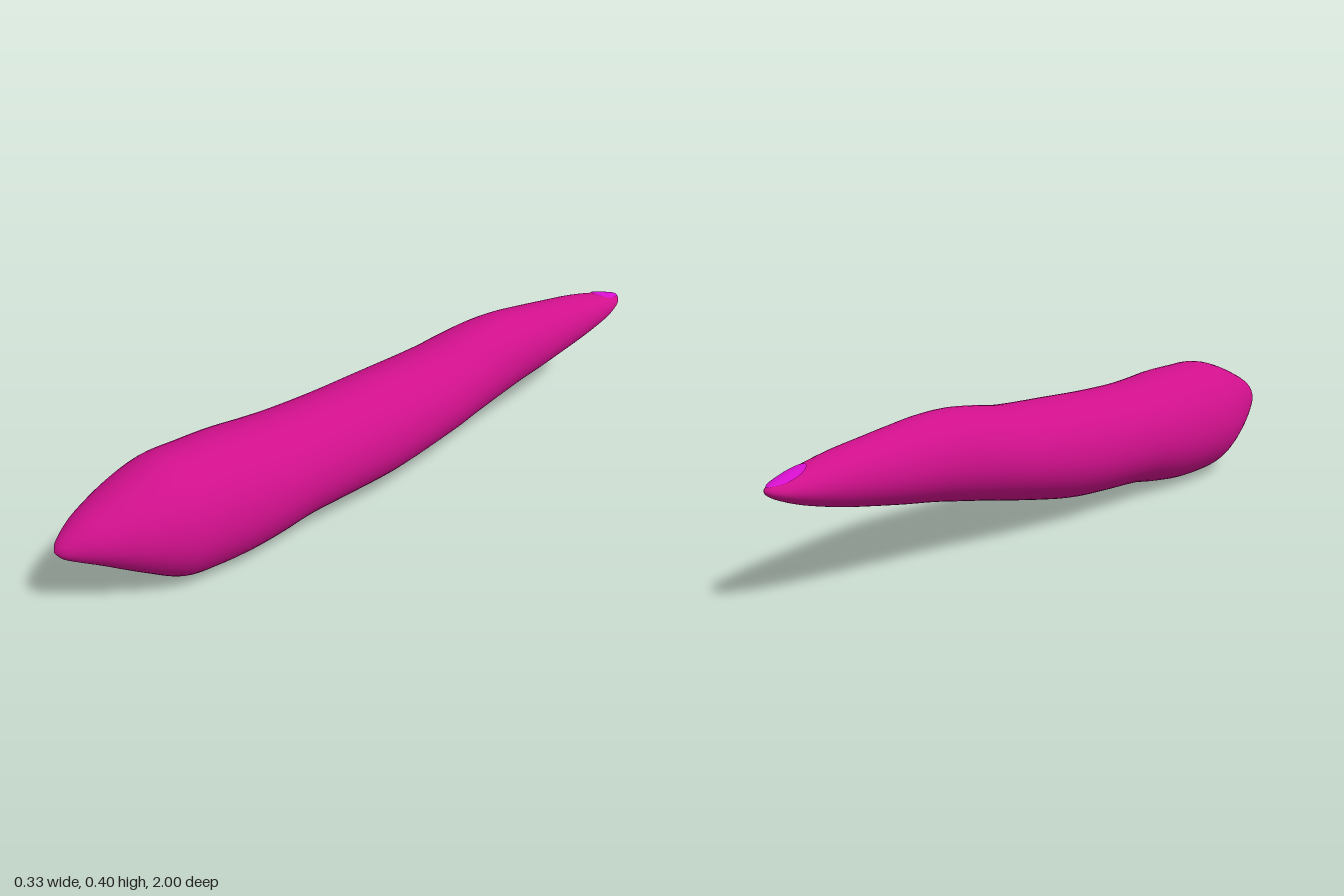
import * as THREE from 'three';
import { mergeVertices } from 'three/addons/utils/BufferGeometryUtils.js';

// Cross-sections from knuckle end to fingertip: z, top, bottom, half width
const SECTIONS = [
  [1, 0.2, 0.2, 0], [0.985, 0.222, 0.178, 0.026], [0.95, 0.25, 0.157, 0.055],
  [0.9, 0.278, 0.13, 0.087], [0.8, 0.322, 0.068, 0.133], [0.7, 0.353, 0.012, 0.16],
  [0.6, 0.357, 0.002, 0.165], [0.5, 0.357, 0.006, 0.167], [0.4, 0.35, 0.02, 0.163],
  [0.3, 0.347, 0.037, 0.156], [0.15, 0.351, 0.047, 0.152], [0, 0.36, 0.062, 0.15],
  [-0.2, 0.373, 0.104, 0.14], [-0.3, 0.389, 0.128, 0.131], [-0.4, 0.402, 0.15, 0.12],
  [-0.5, 0.403, 0.172, 0.109], [-0.6, 0.394, 0.19, 0.097], [-0.7, 0.383, 0.21, 0.084],
  [-0.8, 0.371, 0.232, 0.071], [-0.9, 0.351, 0.261, 0.055], [-0.96, 0.335, 0.285, 0.036],
  [-0.99, 0.325, 0.302, 0.017], [-1, 0.315, 0.315, 0],
];
const spline = (pick) => new THREE.CatmullRomCurve3(
  SECTIONS.map((s) => new THREE.Vector3(...pick(s))), false, 'catmullrom', 0.5);
const heights = spline(([z, top, bottom]) => [z, top, bottom]);
const widths = spline(([z, , , w]) => [z, w, 0]);

// Point on the finger skin at t along its length and angle a around it
function skin(t, a, lift = 0) {
  const { x: z, y: top, z: bottom } = heights.getPoint(t);
  const w = widths.getPoint(t).y;
  const s = Math.sin(a), c = Math.cos(a);
  // upper half slightly taller than the lower half
  const mid = (top + bottom) / 2 - 0.03 * (top - bottom);
  const h = s > 0 ? top - mid : mid - bottom;
  return [c * (w + lift), mid + s * (h + lift), z];
}

// Smooth surface from a grid of points
function gridGeometry(rows, cols, point) {
  const position = [], index = [];
  for (let i = 0; i <= rows; i++) {
    for (let j = 0; j <= cols; j++) {
      position.push(...point(i / rows, (j % cols) / cols));
      if (i === rows || j === cols) continue;
      const a = i * (cols + 1) + j, c = a + cols + 1;
      index.push(a, c, a + 1, c, c + 1, a + 1);
    }
  }
  const g = new THREE.BufferGeometry();
  g.setAttribute('position', new THREE.Float32BufferAttribute(position, 3));
  g.setIndex(index);
  const merged = mergeVertices(g, 1e-5);
  merged.computeVertexNormals();
  return merged;
}

export function createModel() {
  const group = new THREE.Group();
  group.name = 'finger';
  const skinMaterial = new THREE.MeshStandardMaterial({ color: 0xd0108c });
  skinMaterial.name = 'magenta skin';
  const nailMaterial = new THREE.MeshStandardMaterial({ color: 0xd80fd0 });
  nailMaterial.name = 'violet nail';

  // Finger body
  const body = new THREE.Mesh(
    gridGeometry(110, 48, (u, v) => skin(u, v * Math.PI * 2)), skinMaterial);
  body.name = 'fingerBody';

  // Oval nail following the top of the tip
  const last = SECTIONS.length - 1;
  const start = 18.8 / last, end = 21.3 / last;
  const nail = new THREE.Mesh(gridGeometry(8, 32, (r, v) => {
    const p = v * Math.PI * 2;
    const t = (start + end) / 2 + (end - start) / 2 * r * Math.cos(p);
    return skin(t, Math.PI / 2 + 0.68 * r * Math.sin(p), 0.003);
  }), nailMaterial);
  nail.name = 'fingernail';

  group.add(body, nail);
  return group;
}
